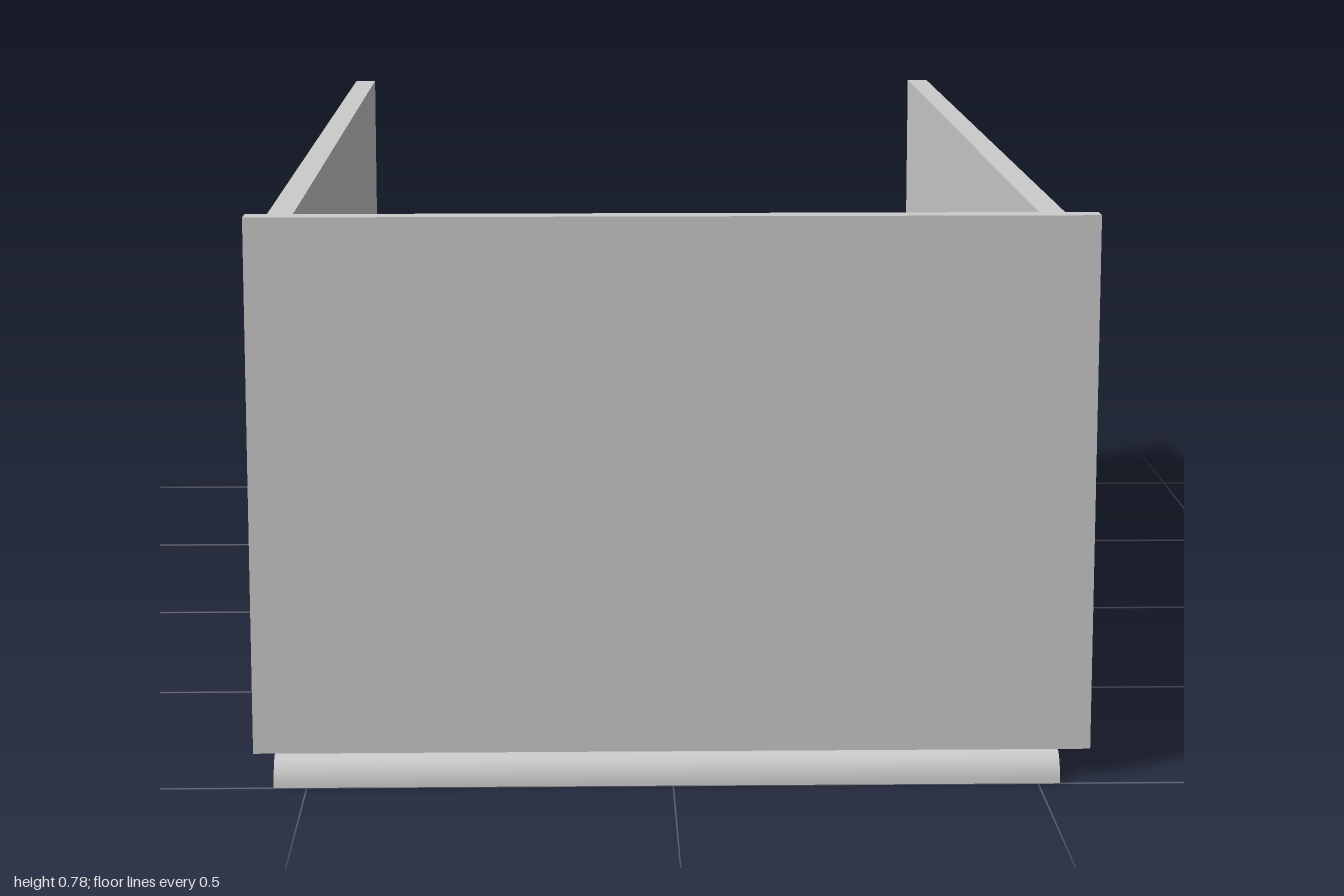
import * as THREE from 'three';

const FLOOR = 0.04, TOP = 0.78, BACK = -1, JOINT = 0.935, FACE = 0.97;
const LEFT = 0.53, RIGHT = -0.545, FLANGE = 0.035;

const material = new THREE.MeshStandardMaterial({ color: 0xcccccc, side: THREE.DoubleSide });

function add(parent, name, geometry, x = 0, y = 0, z = 0) {
  const mesh = new THREE.Mesh(geometry, material);
  mesh.name = name;
  mesh.position.set(x, y, z);
  parent.add(mesh);
  return mesh;
}

// Thin sheet-metal side: a wall set inwards, with flanges turned outwards
function sideWall(name, outerX, side) {
  const wall = new THREE.Group();
  wall.name = name;
  const length = JOINT - BACK, height = TOP - FLOOR;
  const midY = (TOP + FLOOR) / 2, midZ = (JOINT + BACK) / 2;
  const flangeX = outerX - side * FLANGE / 2;

  const web = new THREE.PlaneGeometry(length, height).rotateY(side * Math.PI / 2);
  add(wall, 'wallSheet', web, outerX - side * FLANGE, midY, midZ);
  const top = new THREE.PlaneGeometry(FLANGE, length).rotateX(-Math.PI / 2);
  add(wall, 'topFlange', top, flangeX, TOP, midZ);
  const end = new THREE.PlaneGeometry(FLANGE, height);
  add(wall, 'backFlange', end.clone().rotateY(Math.PI), flangeX, midY, BACK);
  add(wall, 'frontFlange', end, flangeX, midY, JOINT - 0.001);
  return wall;
}

export function createModel() {
  const group = new THREE.Group();
  group.name = 'drawer';
  const width = LEFT - RIGHT, midX = (LEFT + RIGHT) / 2;

  // Floor sheet, running under the front panel
  const floor = new THREE.PlaneGeometry(width, FACE - BACK).rotateX(-Math.PI / 2);
  add(group, 'floor', floor, midX, FLOOR, (FACE + BACK) / 2);

  // Grip lip: the floor sheet curls down in a quarter round
  const rows = 8;
  const lip = new THREE.PlaneGeometry(width, 1, 1, rows);
  const p = lip.attributes.position;
  for (let i = 0; i < p.count; i++) {
    const a = (0.5 - p.getY(i)) * Math.PI / 2;
    p.setY(i, FLOOR * Math.cos(a));
    p.setZ(i, FACE + (1 - FACE) * Math.sin(a));
  }
  lip.computeVertexNormals();
  add(group, 'gripLip', lip, midX);

  // Front panel, wider than the body
  add(group, 'frontPanel', new THREE.BoxGeometry(1.15, TOP - FLOOR, FACE - JOINT),
    0, (TOP + FLOOR) / 2, (FACE + JOINT) / 2);

  group.add(sideWall('leftSide', LEFT, 1), sideWall('rightSide', RIGHT, -1));
  return group;
}
